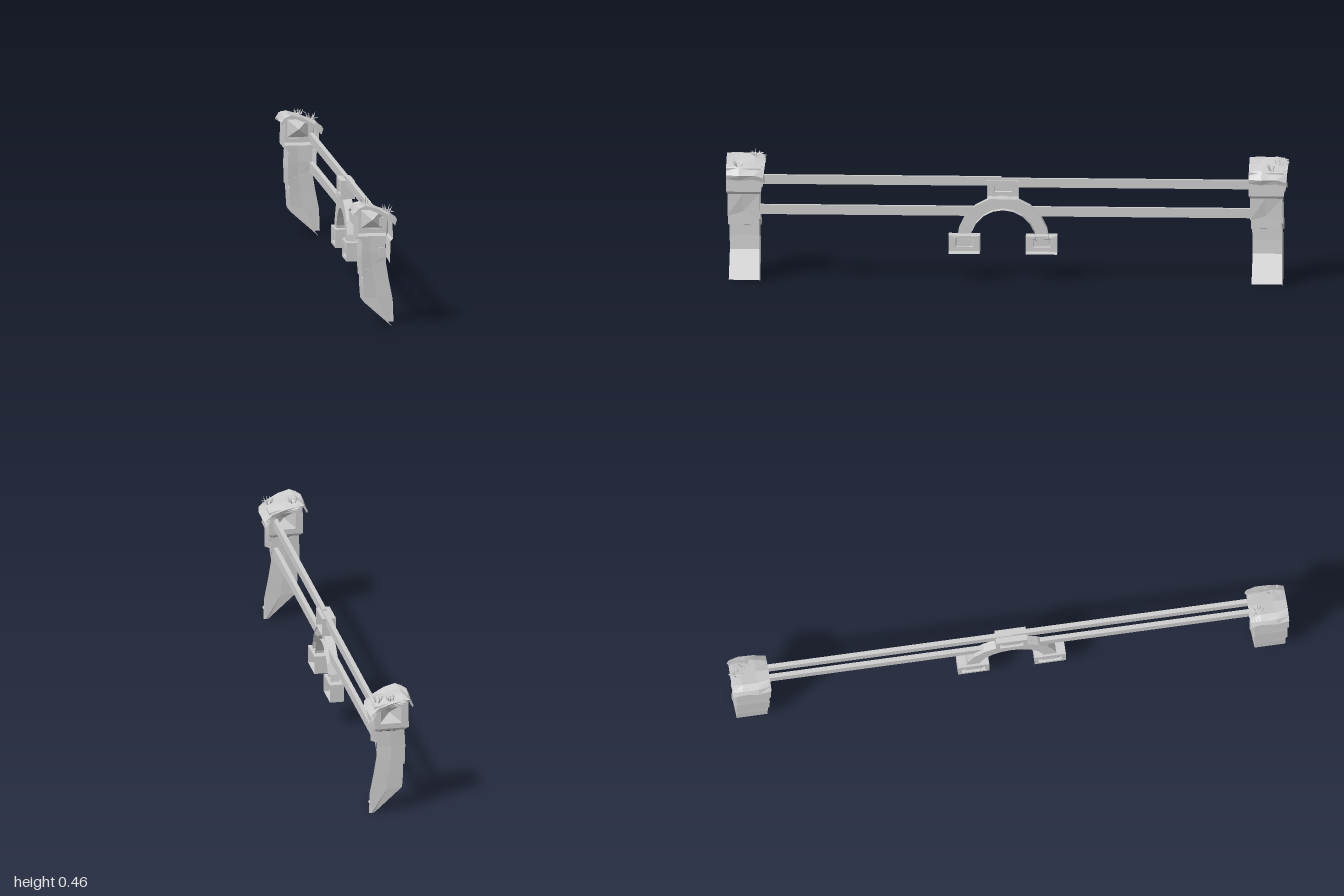
import * as THREE from 'three';

const mat = new THREE.MeshStandardMaterial({ color: 0xcccccc, flatShading: true, side: THREE.DoubleSide });

function add(parent, name, geometry) {
  const m = new THREE.Mesh(geometry, mat);
  m.name = name;
  parent.add(m);
  return m;
}

// Skin between successive rows of points; closed joins each row's ends
function loft(rows, closed = false) {
  const n = rows[0].length, pos = [];
  for (let r = 0; r < rows.length - 1; r++) {
    for (let i = 0; i < (closed ? n : n - 1); i++) {
      const j = (i + 1) % n;
      const [a, b, c, d] = [rows[r][i], rows[r][j], rows[r + 1][j], rows[r + 1][i]];
      pos.push(...a, ...b, ...c, ...a, ...c, ...d);
    }
  }
  const g = new THREE.BufferGeometry();
  g.setAttribute('position', new THREE.Float32BufferAttribute(pos, 3));
  g.computeVertexNormals();
  return g;
}

function box(parent, name, x0, x1, y0, y1, z0, z1) {
  const m = add(parent, name, new THREE.BoxGeometry(x1 - x0, y1 - y0, z1 - z0));
  m.position.set((x0 + x1) / 2, (y0 + y1) / 2, (z0 + z1) / 2);
}

// Shell block, open on +x, with a sunken framed panel on -x
function panelBlock(parent, name, y, z) {
  const ring = (x, h, w) => [[x, y - h, z - w], [x, y + h, z - w], [x, y + h, z + w], [x, y - h, z + w]];
  add(parent, name, loft([
    ring(0.055, 0.033, 0.056), ring(0.005, 0.033, 0.056), ring(0.005, 0.022, 0.042),
    ring(0.016, 0.022, 0.042), ring(0.016, 0.015, 0.032), ring(0.01, 0.013, 0.029), ring(0.01, 0, 0),
  ], true));
}

// Tuft of thin pointed blades and flat leaves
function tuft(parent, x, y, z, seed) {
  const g = new THREE.Group();
  g.name = 'grassTuft';
  g.position.set(x, y, z);
  for (let i = 0; i < 7; i++) {
    const a = i * 2.4 + seed, h = 0.018 + 0.014 * Math.abs(Math.sin(i * 3.1 + seed));
    const blade = add(g, 'blade', new THREE.ConeGeometry(0.004, h, 3));
    blade.position.set(Math.cos(a) * 0.014, h / 2 - 0.004, Math.sin(a) * 0.017);
    blade.rotation.set(Math.sin(a) * 0.4, 0, -Math.cos(a) * 0.4);
  }
  for (let i = 0; i < 4; i++) {
    const leaf = add(g, 'leaf', new THREE.CircleGeometry(0.009, 4));
    leaf.scale.set(1, 0.5, 1);
    leaf.position.set(0.022 * Math.cos(i * 1.7 + seed), 0.004, 0.028 * Math.sin(i * 1.7 + seed));
    leaf.rotation.set(-1.4, 0.3 * Math.sin(i), i);
  }
  parent.add(g);
}

function post(zc) {
  const g = new THREE.Group();
  g.name = 'post';
  g.position.z = zc;
  const zb = -0.06, zf = 0.06;

  // Head: side walls, open towards +z
  for (const [name, top, y, x, neck] of [['headOuterWall', 0.435, 0.32, -0.065, -0.05], ['headInnerWall', 0.405, 0.32, 0.06, 0.052]]) {
    add(g, name, loft([
      [[x * 0.96, top, zb], [x * 0.96, top, zf + 0.005]],
      [[x, y, zb], [x, y, zf + 0.005]],
      [[neck, y - 0.01, zb + 0.006], [neck, y - 0.01, zf]],
    ]));
  }
  // Head back wall with frame and sunken pyramid
  const square = (w, h, z, cy = 0.372) => [[w, cy - h, z], [w, cy + h, z], [-w, cy + h, z], [-w, cy - h, z]];
  add(g, 'headPanel', loft([
    [[0.052, 0.31, zb + 0.006], [0.06, 0.405, zb], [-0.062, 0.435, zb], [-0.05, 0.31, zb + 0.006]],
    [[0.06, 0.32, zb], [0.06, 0.405, zb], [-0.062, 0.435, zb], [-0.065, 0.32, zb]],
    square(0.044, 0.037, zb), square(0.044, 0.037, zb - 0.005),
    square(0.037, 0.031, zb - 0.005), square(0.037, 0.031, zb + 0.006), square(0, 0, zb + 0.03),
  ], true));

  // Shaft: back and outer walls, breaking into a sloped foot
  const row = ([xr, yr, xl, yl, b, f]) => [[xr, yr, b], [(xr + xl) / 2, (yr + yl) / 2, b - 0.003], [xl, yl, b], [xl, yl, f]];
  add(g, 'shaftMiddle', loft([
    [0.052, 0.31, -0.05, 0.31, -0.054, 0.06], [0.05, 0.25, -0.053, 0.25, -0.055, 0.062],
    [0.052, 0.22, -0.05, 0.178, -0.058, 0.062], [0.05, 0.22, -0.044, 0.18, -0.05, 0.056],
  ].map(row)));
  add(g, 'shaftFoot', loft([
    [0.05, 0.222, -0.046, 0.185, -0.052, 0.057], [0.062, 0.15, -0.045, 0.14, -0.054, 0.056],
    [0.076, 0.08, -0.041, 0.09, -0.055, 0.055], [0.079, 0, 0.06, 0, -0.055, 0.055],
  ].map(row)));
  // Broken inner wall
  add(g, 'shaftInnerWall', loft([
    [[0.052, 0.312, -0.054], [0.053, 0.312, 0.005], [0.052, 0.312, 0.06]],
    [[0.05, 0.222, -0.054], [0.045, 0.245, 0.005], [0.05, 0.23, 0.06]],
  ]));

  // Drooping cap, uneven at its edges
  const profile = [[-0.08, 0.415], [-0.069, 0.434], [-0.045, 0.44], [0, 0.428], [0.05, 0.408], [0.08, 0.382],
    [0.074, 0.365], [0.046, 0.396], [0, 0.416], [-0.045, 0.43], [-0.063, 0.425], [-0.073, 0.408]];
  const zs = [-0.071, -0.035, 0.02, 0.065];
  const ringAt = (z, k) => profile.map(([x, y], i) => [
    x * (k === 3 ? 0.94 : 1) + 0.003 * Math.sin(i + k * 2),
    y + 0.003 * Math.sin(i * 2 + k * 3) - (k === 0 ? 0.008 : 0),
    z - (k === 0 ? 0.004 * Math.sin(i * 2.3) : 0)]);
  const rings = zs.map(ringAt);
  const mid = (k) => profile.map((_, i) => rings[k][i].map((v, c) => (v + rings[k][11 - i][c]) / 2));
  add(g, 'cap', loft([mid(0), ...rings, mid(3)], true));
  return g;
}

export function createModel() {
  const model = new THREE.Group();
  model.name = 'railing';

  // Two matching posts with grass on the caps
  const front = post(0.935), back = post(-0.925);
  tuft(front, -0.03, 0.436, -0.04, 0.5);
  tuft(front, 0.045, 0.41, 0.02, 2);
  tuft(back, 0.04, 0.412, -0.02, 1.2);
  tuft(back, 0.0, 0.428, -0.045, 3);
  model.add(front, back);

  // Rails, slightly offset either side of the arch
  box(model, 'upperRail', 0.026, 0.042, 0.346, 0.378, 0.02, 0.89);
  box(model, 'upperRail', 0.026, 0.042, 0.341, 0.373, -0.87, 0.02);
  box(model, 'lowerRail', 0.026, 0.042, 0.236, 0.27, 0.12, 0.895);
  box(model, 'lowerRail', 0.026, 0.042, 0.236, 0.27, -0.87, -0.09);

  // Arch: outer, face and inner surfaces, open on +x
  const arch = new THREE.Group();
  arch.name = 'arch';
  model.add(arch);
  const rows = [];
  for (let i = 0; i <= 10; i++) {
    const a = Math.PI * i / 10, c = Math.cos(a), s = Math.sin(a);
    rows.push([[0.046, 0.165], [0.013, 0.165], [0.013, 0.118], [0.046, 0.118]]
      .map(([x, r]) => [x, 0.14 + r * s, 0.015 + r * c]));
  }
  add(arch, 'archBand', loft(rows));

  // Framed blocks at the crown and both feet
  panelBlock(arch, 'crownBlock', 0.333, 0.015);
  panelBlock(arch, 'footBlock', 0.133, 0.153);
  panelBlock(arch, 'footBlock', 0.133, -0.122);
  return model;
}
